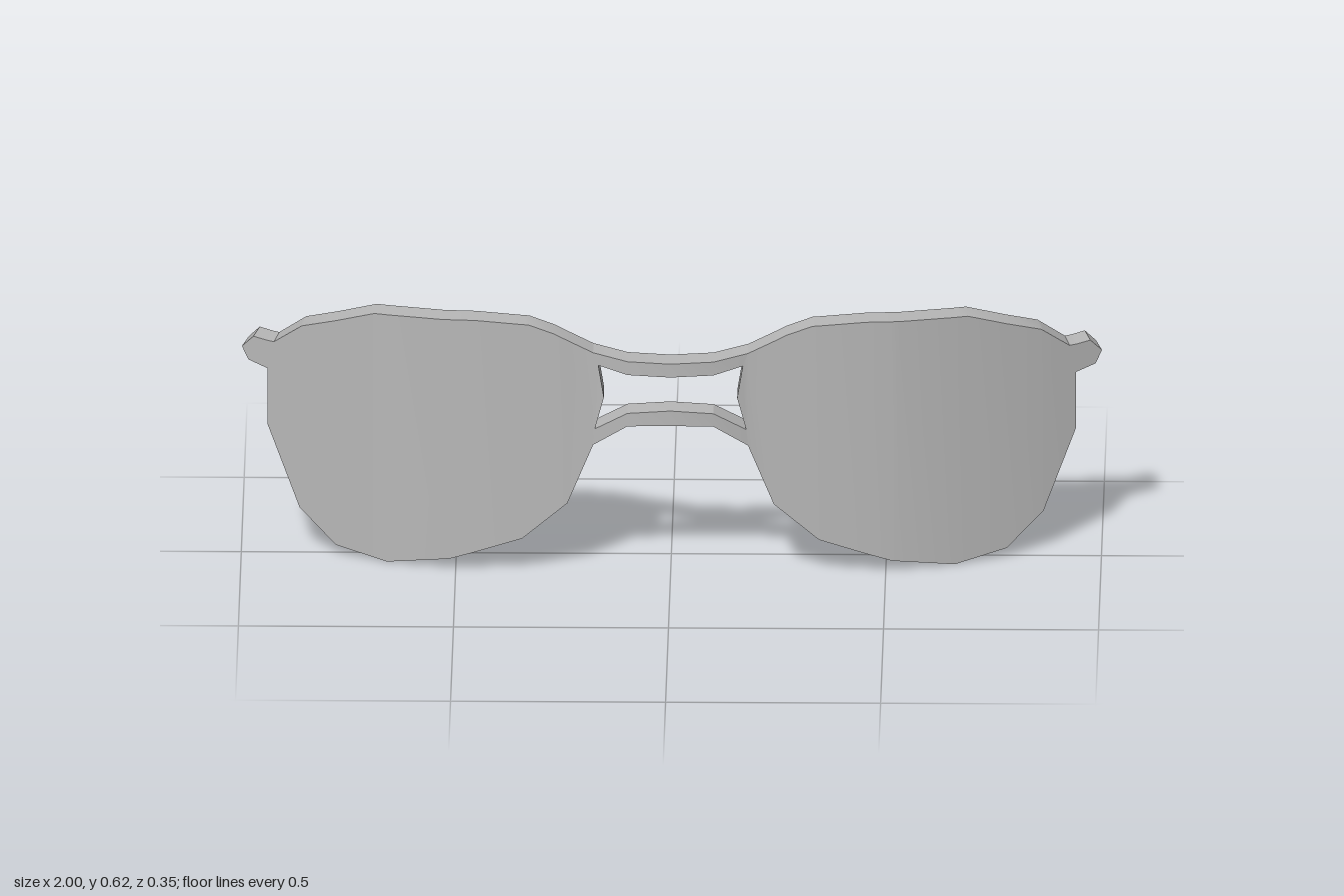
import * as THREE from 'three';
import { toCreasedNormals } from 'three/addons/utils/BufferGeometryUtils.js';

const THICKNESS = 0.065;

// Wrap of the front surface (x, z) and the lens outline (x, y), for the half at +x
const WRAP = [[0, .173], [.1, .163], [.18, .139], [.24, .139], [.345, .133], [.455, .121],
  [.53, .107], [.66, .062], [.78, .013], [.865, -.03], [.94, -.073], [1, -.108]];
const LENS_TOP = [[.18, .548], [.27, .593], [.33, .614], [.455, .62], [.69, .61], [.86, .55],
  [.925, .497], [.94, .497]];
const LENS_BOTTOM = [[.18, .32], [.24, .175], [.345, .085], [.51, .027], [.66, 0], [.78, .023],
  [.865, .1], [.94, .29]];

// Piecewise linear lookup
function sample(table, x) {
  let i = 1;
  while (i < table.length - 1 && table[i][0] < x) i++;
  const [x0, y0] = table[i - 1], [x1, y1] = table[i];
  return y0 + (y1 - y0) * (x - x0) / (x1 - x0);
}

// Solid curved strip; each column is [top x, top y, bottom x, bottom y], from -x to +x
function strip(columns) {
  const positions = [], index = [];
  const put = (x, y, back) => {
    const z = sample(WRAP, Math.abs(x)) - (back ? THICKNESS : 0);
    positions.push(back ? x - 0.015 * x ** 3 : x, y, z);
  };
  const quad = (a, b, c, d) => index.push(a, b, c, a, c, d);
  for (const [xt, yt, xb, yb] of columns) {
    put(xt, yt, false);
    put(xb, yb, false);
    put(xb, yb, true);
    put(xt, yt, true);
  }
  for (let i = 0; i < columns.length - 1; i++) {
    for (let k = 0; k < 4; k++) {
      const a = i * 4 + k, b = i * 4 + (k + 1) % 4;
      quad(a, b, b + 4, a + 4);
    }
  }
  const e = (columns.length - 1) * 4;
  quad(3, 2, 1, 0);
  quad(e, e + 1, e + 2, e + 3);
  const geometry = new THREE.BufferGeometry();
  geometry.setAttribute('position', new THREE.Float32BufferAttribute(positions, 3));
  geometry.setIndex(index);
  return toCreasedNormals(geometry, Math.PI / 7);
}

const mirror = (columns) => columns.map(([a, b, c, d]) => [-a, b, -c, d]).reverse();

export function createModel() {
  const group = new THREE.Group();
  const grey = new THREE.MeshStandardMaterial({ color: 0xb8b8b8 });
  grey.name = 'plain grey';

  const add = (name, columns) => {
    const mesh = new THREE.Mesh(strip(columns), grey);
    mesh.name = name;
    group.add(mesh);
  };

  // Lens: inner edge beside the bridge opening, then every outline break
  const xs = [...new Set([...LENS_TOP, ...LENS_BOTTOM, ...WRAP].map((p) => p[0]))]
    .filter((x) => x >= .18 && x <= .94).sort((a, b) => a - b);
  const lens = [
    [.155, .44, .155, .44],
    [.168, .518, .176, .36],
    ...xs.map((x) => [x, sample(LENS_TOP, x), x, sample(LENS_BOTTOM, x)]),
  ];

  // Pointed hinge stub at the outer end
  const hinge = [
    [.94, .497, .94, .428],
    [.973, .5, .985, .44],
    [1, .47, 1, .47],
  ];

  add('leftLens', lens);
  add('rightLens', mirror(lens));
  add('leftHinge', hinge);
  add('rightHinge', mirror(hinge));

  // Two bars joining the lenses
  const bars = {
    browBar: [[0, .533, 0, .5], [.1, .535, .1, .502], [.18, .548, .168, .518]],
    noseBridge: [[0, .417, 0, .38], [.1, .407, .1, .375], [.176, .36, .18, .32]],
  };
  for (const [name, half] of Object.entries(bars)) {
    add(name, [...mirror(half.slice(1)), ...half]);
  }
  return group;
}
